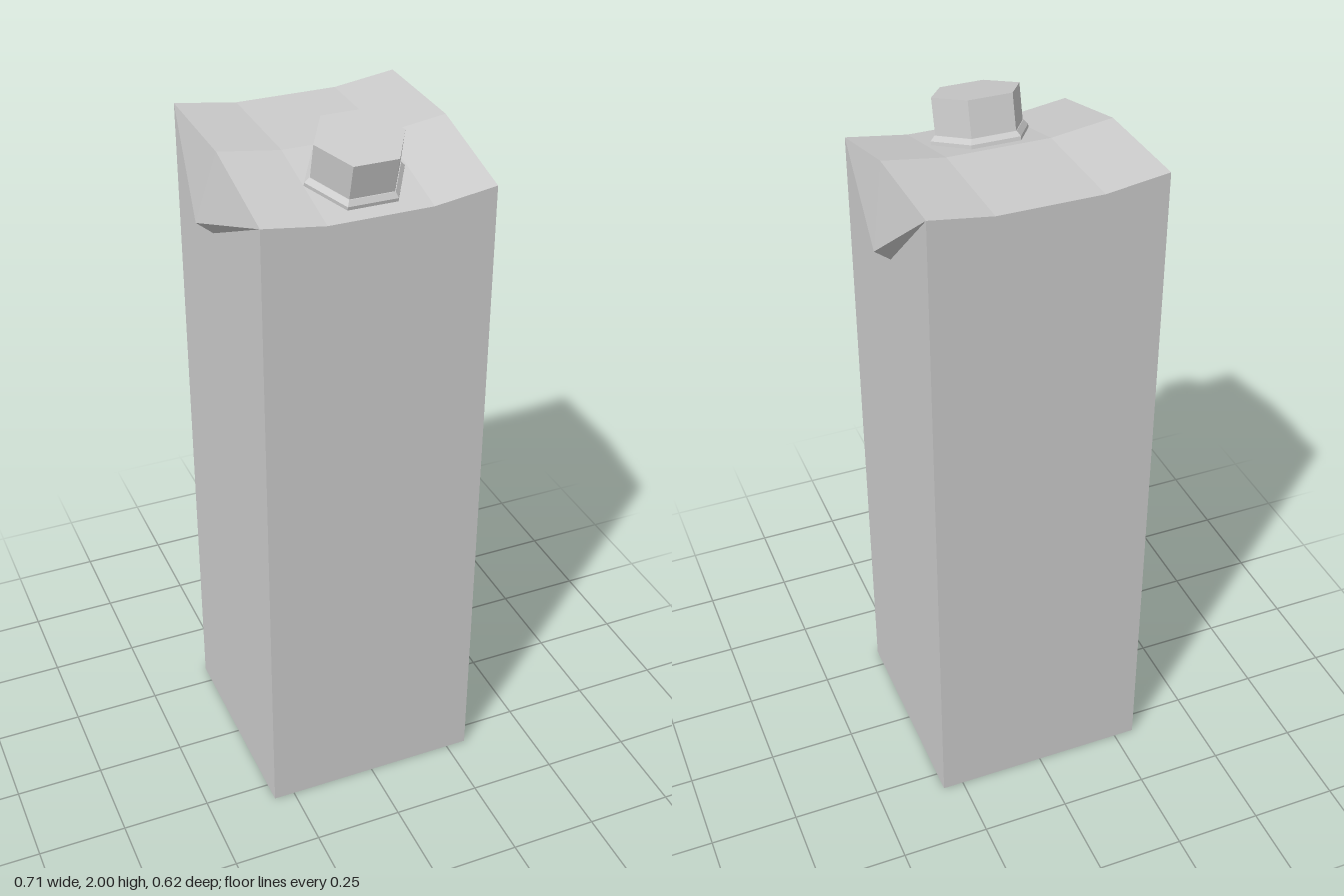
import * as THREE from 'three';

const material = new THREE.MeshStandardMaterial({ color: 0xcccccc, flatShading: true });

// Mesh from convex polygons, each fanned from its first corner
function polyMesh(name, polygons) {
  const pos = [];
  for (const p of polygons) {
    for (let i = 1; i < p.length - 1; i++) pos.push(...p[0], ...p[i], ...p[i + 1]);
  }
  const geometry = new THREE.BufferGeometry();
  geometry.setAttribute('position', new THREE.Float32BufferAttribute(pos, 3));
  geometry.computeVertexNormals();
  const mesh = new THREE.Mesh(geometry, material);
  mesh.name = name;
  return mesh;
}

// Polygons drawn for the +x side, mirrored with their winding when s is -1
const onSide = (s, polygons) => polygons.map((p) => {
  const q = p.map(([x, y, z]) => [s * x, y, z]);
  return s < 0 ? q.reverse() : q;
});

export function createModel() {
  const group = new THREE.Group();
  const W = 0.31;        // half width of the carton
  const ridgeZ = 0.015;  // fold across the top

  // Columns across the top, which sags in the middle
  const columns = [[-W, 0], [-0.14, 0.024], [0.14, 0.024], [W, 0]];
  const front = columns.map(([x, d]) => [x, 1.845 - d, W]);
  const ridge = columns.map(([x, d]) => [x, 1.92 - d, ridgeZ]);
  const back = columns.map(([x, d]) => [x, 1.925 - d, -W]);
  const floor = ([x, , z]) => [x, 0, z];

  // Front wall, back wall and the two slopes of the top
  const walls = [], top = [];
  for (let i = 0; i < 3; i++) {
    const j = i + 1;
    walls.push([floor(front[i]), floor(front[j]), front[j], front[i]]);
    walls.push([floor(back[j]), floor(back[i]), back[i], back[j]]);
    top.push([front[i], front[j], ridge[j], ridge[i]]);
    top.push([ridge[i], ridge[j], back[j], back[i]]);
  }

  // Side walls, folded ears and the triangular flaps underneath
  const F = front[3], R = ridge[3], B = back[3];
  const F0 = floor(F), B0 = floor(B);
  for (const s of [1, -1]) {
    const lift = s < 0 ? 0.01 : 0;
    const inner = [W, 1.67 + lift, -0.032];
    const outer = [0.354, 1.705 + lift, -0.037];
    walls.push(...onSide(s, [[inner, F, F0, B0, B]]));
    const side = s > 0 ? 'left' : 'right';
    group.add(polyMesh(side + 'Ear', onSide(s, [
      [F, outer, R], [R, outer, B], [F, inner, outer], [B, outer, inner],
    ])));
    const tip = [0.1, 0, 0.015], root = [0.1, 0.042, 0.015];
    group.add(polyMesh(side + 'BottomFlap', onSide(s, [
      [F0, tip, B0], [F0, root, tip], [B0, tip, root],
    ])));
  }
  group.add(polyMesh('walls', walls), polyMesh('top', top));

  // Recessed bottom between the flaps
  const a = [-0.1, 0.042, 0.015], b = [0.1, 0.042, 0.015];
  group.add(polyMesh('bottom', [
    [[-W, 0, W], a, b, [W, 0, W]],
    [[W, 0, -W], b, a, [-W, 0, -W]],
  ]));

  // Tilted hexagonal spout: flange, chamfer and screw cap
  const spout = new THREE.Group();
  spout.name = 'spout';
  const hex = (name, rTop, rBottom, y0, y1) => {
    const geometry = new THREE.CylinderGeometry(rTop, rBottom, y1 - y0, 6);
    geometry.rotateY(Math.PI / 6 + Math.PI / 3);
    const mesh = new THREE.Mesh(geometry, material);
    mesh.name = name;
    mesh.position.y = (y0 + y1) / 2;
    // corners point sideways
    mesh.rotation.y = 0;
    spout.add(mesh);
  };
  hex('flange', 0.134, 0.134, -0.125, -0.109);
  hex('flangeChamfer', 0.122, 0.134, -0.109, -0.096);
  hex('cap', 0.12, 0.12, -0.096, 0);
  spout.position.set(-0.005, 1.975, 0.187);
  spout.rotation.x = 0.25;
  group.add(spout);

  return group;
}
